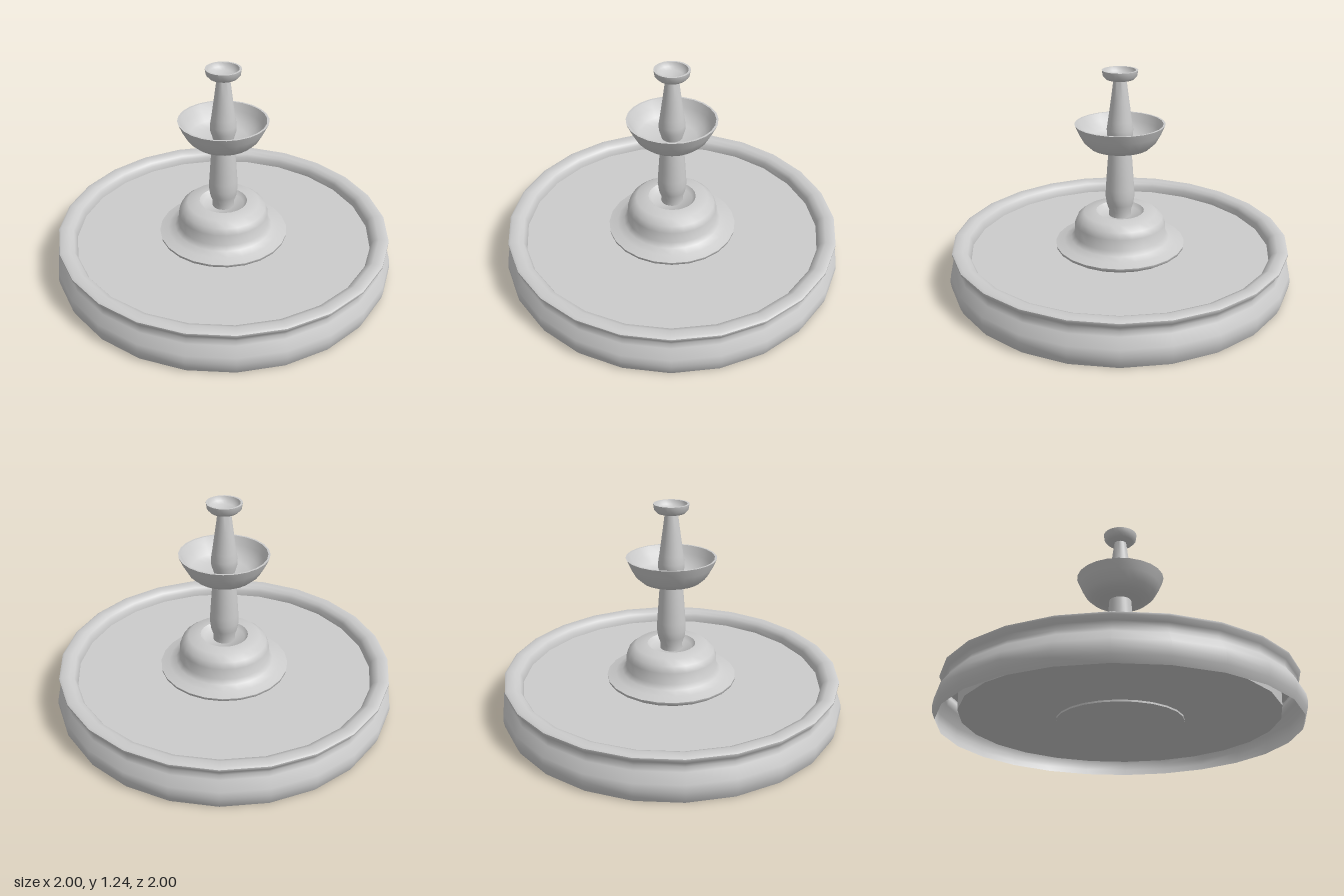
import * as THREE from 'three';
import { toCreasedNormals } from 'three/addons/utils/BufferGeometryUtils.js';

const SIDES = 24;
const material = new THREE.MeshStandardMaterial({ color: 0xcccccc, side: THREE.DoubleSide });

// Turned part from [radius, height] pairs, outside first, running upwards
function turned(name, profile, crease = 0.9) {
  const points = profile.map(([r, y]) => new THREE.Vector2(r, y));
  const geometry = toCreasedNormals(new THREE.LatheGeometry(points, SIDES), crease);
  const mesh = new THREE.Mesh(geometry, material);
  mesh.name = name;
  return mesh;
}

// Flat round surface at a given height
function disc(name, radius, y) {
  const geometry = new THREE.CircleGeometry(radius, SIDES).rotateX(-Math.PI / 2);
  const mesh = new THREE.Mesh(geometry, material);
  mesh.name = name;
  mesh.position.y = y;
  return mesh;
}

export function createModel() {
  const fountain = new THREE.Group();
  fountain.name = 'fountain';

  // Basin wall: bulging foot, hollow waist, rolled rim, inner wall
  fountain.add(turned('basinWall', [
    [0.98, 0], [0.995, 0.035], [1, 0.07], [0.995, 0.11], [0.96, 0.16],
    [0.95, 0.185], [0.96, 0.21], [0.978, 0.232], [0.978, 0.243], [0.965, 0.25],
    [0.92, 0.248], [0.893, 0.235], [0.88, 0.215], [0.875, 0.18], [0.87, 0.06],
  ]));
  fountain.add(disc('basinFloor', 0.87, 0.06));
  fountain.add(disc('water', 0.876, 0.18));

  // Pedestal with a flared skirt and a sunken top
  fountain.add(turned('pedestal', [
    [0, 0.05], [0.35, 0.05], [0.35, 0.18], [0.378, 0.2], [0.38, 0.215],
    [0.33, 0.228], [0.29, 0.245], [0.268, 0.27], [0.265, 0.335], [0.25, 0.372],
    [0.212, 0.402], [0.14, 0.408], [0.12, 0.385], [0, 0.375],
  ]));

  // Two baluster stems, one below and one inside the bowl
  fountain.add(turned('lowerStem', [
    [0.065, 0.375], [0.063, 0.41], [0.078, 0.455], [0.084, 0.5], [0.082, 0.55],
    [0.073, 0.68], [0.064, 0.8],
  ]));
  fountain.add(turned('upperStem', [
    [0.055, 0.8], [0.062, 0.83], [0.074, 0.87], [0.075, 0.905], [0.068, 0.95],
    [0.05, 1.08], [0.035, 1.195],
  ]));

  // Middle bowl
  fountain.add(turned('bowl', [
    [0, 0.79], [0.12, 0.79], [0.17, 0.8], [0.205, 0.832], [0.235, 0.885],
    [0.257, 0.935], [0.245, 0.935], [0.222, 0.89], [0.19, 0.845], [0.14, 0.822], [0, 0.815],
  ]));

  // Small cup at the top
  fountain.add(turned('topCup', [
    [0, 1.18], [0.04, 1.183], [0.078, 1.19], [0.095, 1.208], [0.1, 1.24],
    [0.088, 1.24], [0.08, 1.218], [0.06, 1.205], [0, 1.2],
  ]));

  return fountain;
}
